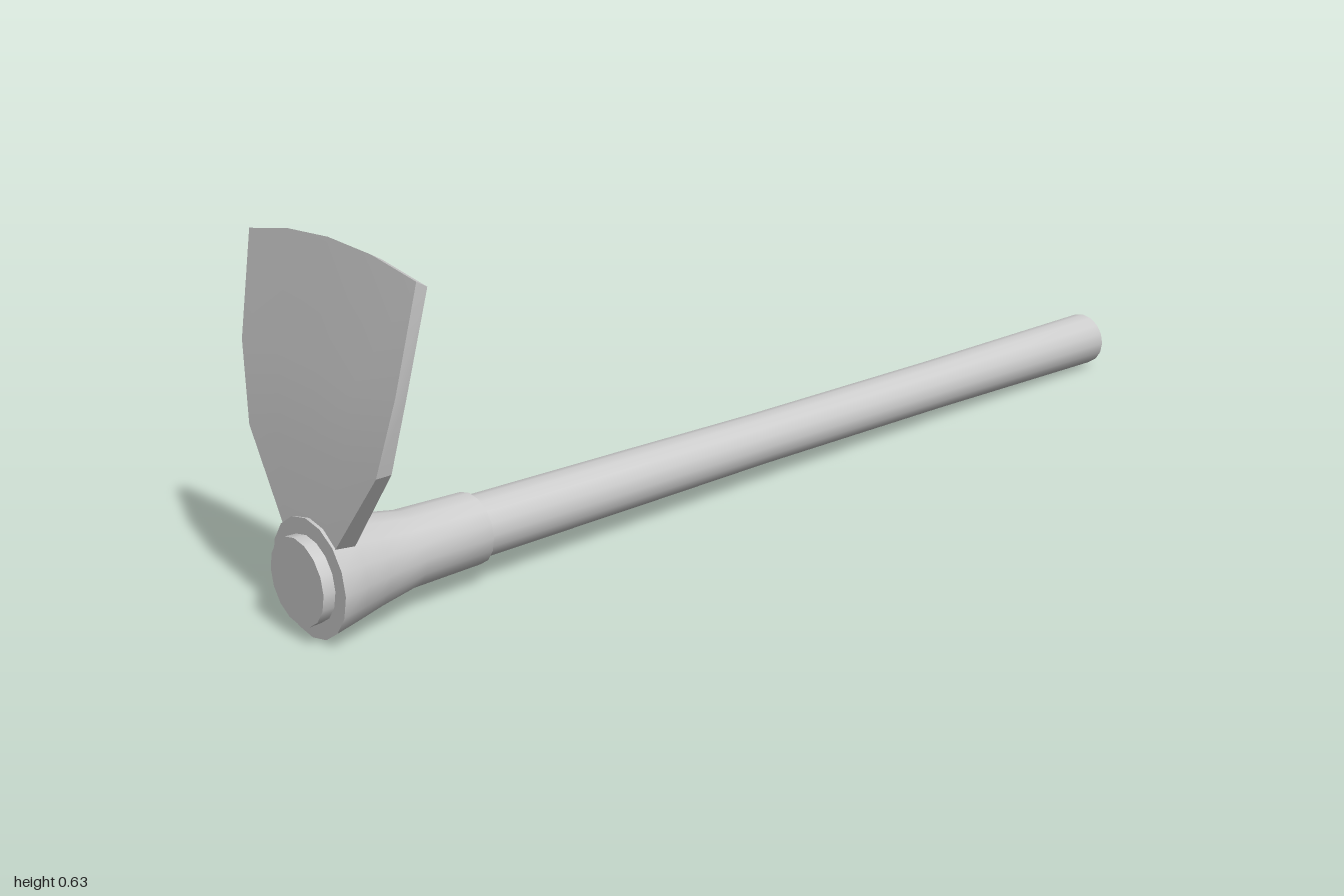
import * as THREE from 'three';
import { toCreasedNormals } from 'three/addons/utils/BufferGeometryUtils.js';

// Turned part lying along x, following the slightly sloping handle axis
function turned(name, profile, material) {
  const points = profile.map(([x, r]) => new THREE.Vector2(r, x));
  const geo = new THREE.LatheGeometry(points, 16);
  geo.rotateZ(-Math.PI / 2);
  const p = geo.attributes.position;
  for (let i = 0; i < p.count; i++) p.setY(i, p.getY(i) + 0.08 - 0.022 * p.getX(i));
  const mesh = new THREE.Mesh(toCreasedNormals(geo, 0.6), material);
  mesh.name = name;
  return mesh;
}

// Flat blade, widening upward and bending forward, with an arched cutting edge
function makeBlade(material) {
  // y, half width, back x, front x
  const rows = [
    [0.16, 0.065, -0.974, -0.934],
    [0.307, 0.172, -0.961, -0.933],
    [0.437, 0.206, -0.943, -0.922],
    [0.598, 0.221, -0.907, -0.888],
  ];
  const geo = new THREE.BoxGeometry(1, 1, 1, 1, 3, 4);
  const p = geo.attributes.position;
  for (let i = 0; i < p.count; i++) {
    const k = Math.round((p.getY(i) + 0.5) * 3);
    const [y, half, back, front] = rows[k];
    const u = p.getZ(i) * 2;
    const isBack = p.getX(i) < 0;
    const lift = k === 3 ? 0.026 * (1 - u * u) + (isBack ? 0.011 : 0) : 0;
    p.setXYZ(i, isBack ? back : front, y + lift, u * half);
  }
  const mesh = new THREE.Mesh(toCreasedNormals(geo, 0.3), material);
  mesh.name = 'blade';
  return mesh;
}

export function createModel() {
  const grey = new THREE.MeshStandardMaterial({ color: 0xcccccc });
  grey.name = 'light grey';

  const group = new THREE.Group();
  group.name = 'hoe';
  group.add(
    // Handle, slimmest at the middle and swelling inside the socket
    turned('handle', [
      [-1, 0], [-1, 0.073], [-0.93, 0.07], [-0.8, 0.058], [-0.67, 0.054],
      [-0.3, 0.051], [0, 0.048], [0.5, 0.049], [1, 0.054], [1, 0],
    ], grey),
    // Flared collar that holds the blade
    turned('socket', [
      [-0.978, 0.06], [-0.978, 0.1], [-0.93, 0.09], [-0.88, 0.079],
      [-0.8, 0.065], [-0.665, 0.062], [-0.665, 0.05],
    ], grey),
    makeBlade(grey),
  );
  return group;
}
